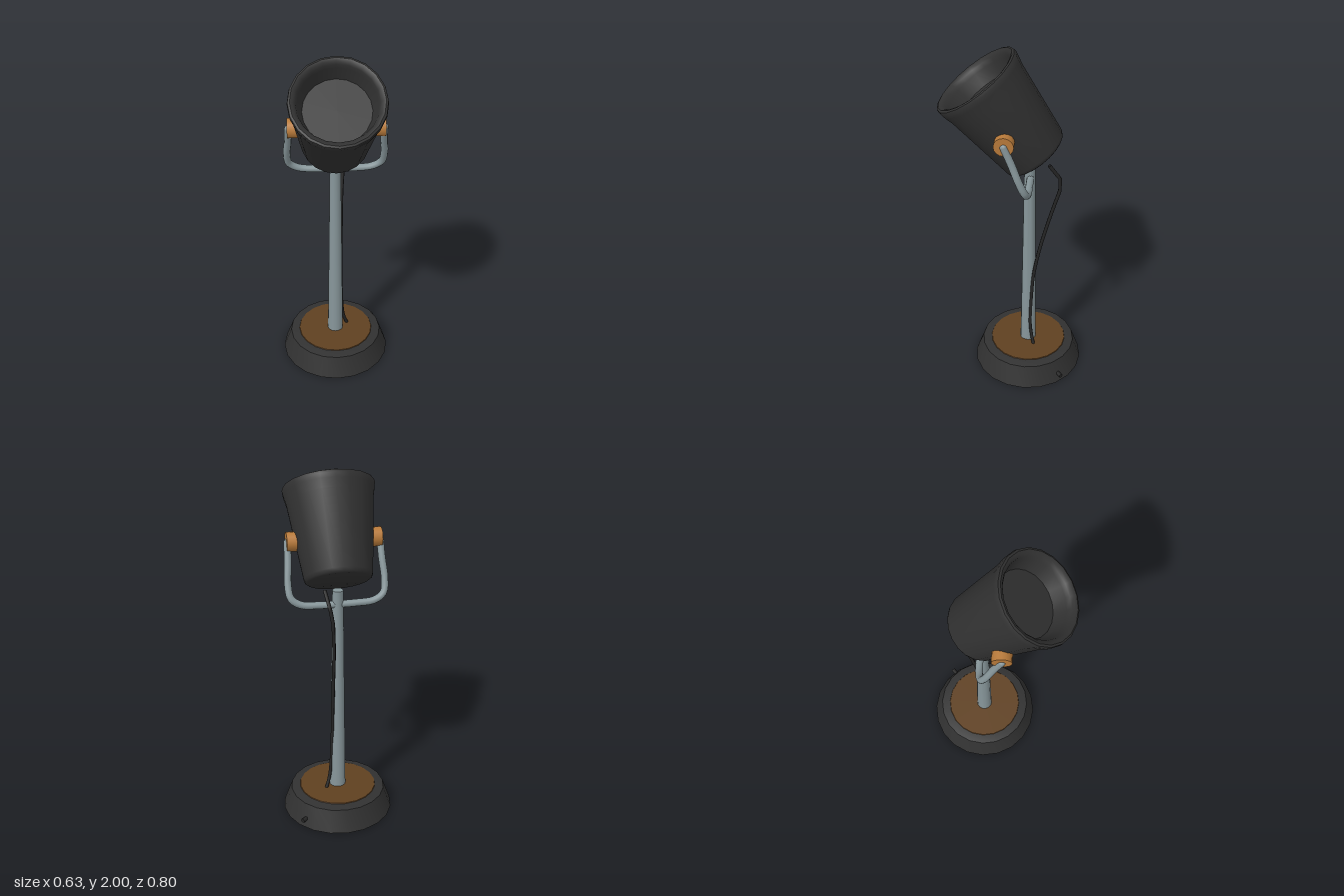
import * as THREE from 'three';
import { toCreasedNormals } from 'three/addons/utils/BufferGeometryUtils.js';

const paint = (name, color) => {
  const m = new THREE.MeshStandardMaterial({ color });
  m.name = name;
  return m;
};
const v = (x, y, z) => new THREE.Vector3(x, y, z);

export function createModel() {
  const model = new THREE.Group();
  model.name = 'spotLamp';
  const black = paint('blackPaint', 0x313131);
  const rubber = paint('blackRubber', 0x262626);
  const steel = paint('greySteel', 0x87969a);
  const wood = paint('lightWood', 0xb87a3a);
  const darkWood = paint('darkWood', 0x5f4020);

  const add = (name, geometry, material, parent = model) => {
    const mesh = new THREE.Mesh(geometry, material);
    mesh.name = name;
    parent.add(mesh);
    return mesh;
  };
  // Revolved profile, smooth around but sharp at hard corners
  const turned = (points, sides) => toCreasedNormals(
    new THREE.LatheGeometry(points.map(([r, y]) => new THREE.Vector2(r, y)), sides), 0.65);

  // Base, wooden inlay and pole share one vertical axis
  const stand = new THREE.Group();
  stand.name = 'stand';
  stand.position.z = -0.085;
  model.add(stand);
  add('base', turned([[0, 0], [0.315, 0], [0.27, 0.125], [0.222, 0.134], [0, 0.134]], 20), black, stand);
  add('baseInlay', turned([[0.222, 0.13], [0.218, 0.138], [0, 0.138]], 20), darkWood, stand);
  add('pole', turned([[0, 0.12], [0.046, 0.12], [0.03, 1.36], [0, 1.36]], 14), steel, stand);

  // Small switch on the back of the base
  const knob = add('switchKnob', new THREE.CylinderGeometry(0.012, 0.012, 0.05, 8), rubber, stand);
  knob.position.set(0.223, 0.045, -0.2);
  knob.quaternion.setFromUnitVectors(v(0, 1, 0), v(0.223, 0, -0.2).normalize());

  // Tilted lamp head with rolled lip and recessed floor
  const head = add('lampHead', turned([
    [0, 0], [0.168, 0], [0.18, 0.008], [0.187, 0.025], [0.238, 0.44], [0.25, 0.49],
    [0.254, 0.515], [0.251, 0.53], [0.24, 0.535], [0.225, 0.53], [0.212, 0.515],
    [0.205, 0.49], [0.18, 0.415], [0, 0.415],
  ], 20), black);
  head.position.set(0, 1.425, -0.117);
  head.rotation.x = Math.atan2(0.6, 0.8);

  // Wooden pivot discs on both sides
  for (const side of [-1, 1]) {
    const pivot = add(side > 0 ? 'leftPivot' : 'rightPivot',
      new THREE.CylinderGeometry(0.053, 0.053, 0.055, 16), wood);
    pivot.position.set(side * 0.231, 1.608, 0.03);
    pivot.rotation.z = Math.PI / 2;
  }

  // Bent fork that carries the head
  const arm = [[0.252, 1.605, 0.03], [0.256, 1.5, -0.012], [0.264, 1.4, -0.05],
    [0.252, 1.325, -0.08], [0.2, 1.29, -0.09], [0.1, 1.281, -0.09]];
  const forkPath = new THREE.CatmullRomCurve3([
    ...arm.map(([x, y, z]) => v(-x, y, z)), v(0, 1.28, -0.09),
    ...arm.slice().reverse().map(([x, y, z]) => v(x, y, z)),
  ]);
  add('fork', new THREE.TubeGeometry(forkPath, 60, 0.02, 10), steel);
  for (const side of [-1, 1]) {
    const tip = add('forkTip', new THREE.SphereGeometry(0.02, 10, 8), steel);
    tip.position.set(side * 0.252, 1.605, 0.03);
  }

  // Cable sagging behind the pole, made of straight upper bends
  const cable = new THREE.CurvePath();
  const bends = [v(0.09, 1.41, -0.195), v(0.07, 1.318, -0.253), v(0.055, 1.235, -0.253)];
  cable.add(new THREE.LineCurve3(bends[0], bends[1]));
  cable.add(new THREE.LineCurve3(bends[1], bends[2]));
  cable.add(new THREE.CatmullRomCurve3([bends[2], v(0.042, 1.05, -0.203), v(0.036, 0.82, -0.148),
    v(0.034, 0.625, -0.115), v(0.034, 0.48, -0.105), v(0.042, 0.27, -0.1), v(0.052, 0.2, -0.108),
    v(0.075, 0.125, -0.125)]));
  add('cable', new THREE.TubeGeometry(cable, 60, 0.01, 6), rubber).material.side = THREE.DoubleSide;

  return model;
}
